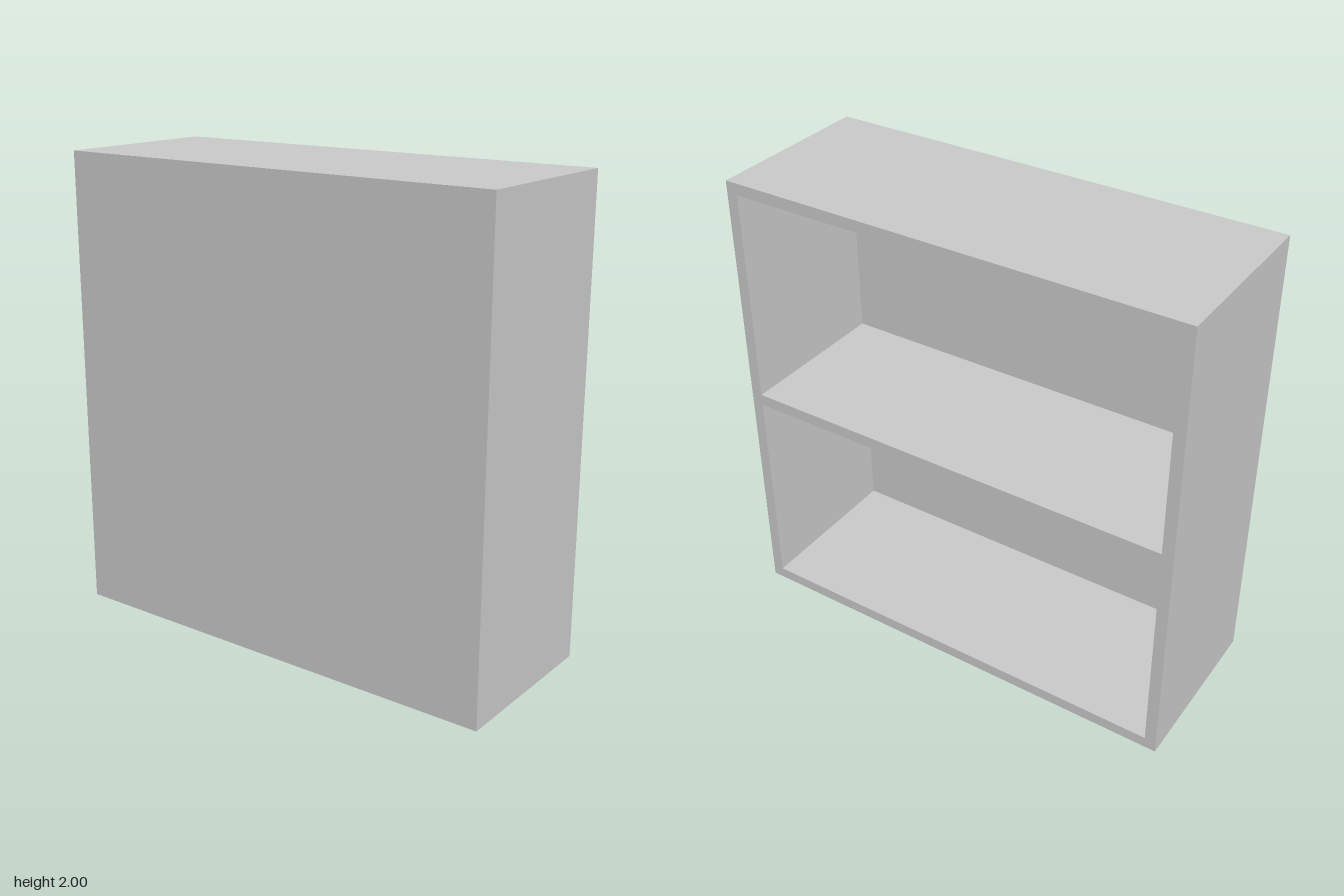
import * as THREE from 'three';

const W = 2, H = 2, D = 0.75, T = 0.05; // overall size and board thickness

// Closed rectangular outline
function rect(Type, x0, y0, x1, y1) {
  const p = new Type();
  p.moveTo(x0, y0);
  p.lineTo(x1, y0);
  p.lineTo(x1, y1);
  p.lineTo(x0, y1);
  p.closePath();
  return p;
}

export function createModel() {
  const group = new THREE.Group();
  group.name = 'shelfCabinet';
  const material = new THREE.MeshStandardMaterial({ color: 0xcccccc });

  // Frame: sides, top, bottom and middle shelf around two equal bays
  const outline = rect(THREE.Shape, -W / 2, 0, W / 2, H);
  const bay = (H - 3 * T) / 2;
  for (let i = 0; i < 2; i++) {
    const y = T + i * (bay + T);
    outline.holes.push(rect(THREE.Path, -W / 2 + T, y, W / 2 - T, y + bay));
  }
  const frame = new THREE.Mesh(
    new THREE.ExtrudeGeometry(outline, { depth: D - T, bevelEnabled: false }),
    material
  );
  frame.name = 'frameWithShelf';
  frame.position.z = -D / 2;
  group.add(frame);

  // Solid panel closing the front; the bays open to the back
  const panel = new THREE.Mesh(new THREE.BoxGeometry(W, H, T), material);
  panel.name = 'frontPanel';
  panel.position.set(0, H / 2, D / 2 - T / 2);
  group.add(panel);

  return group;
}
